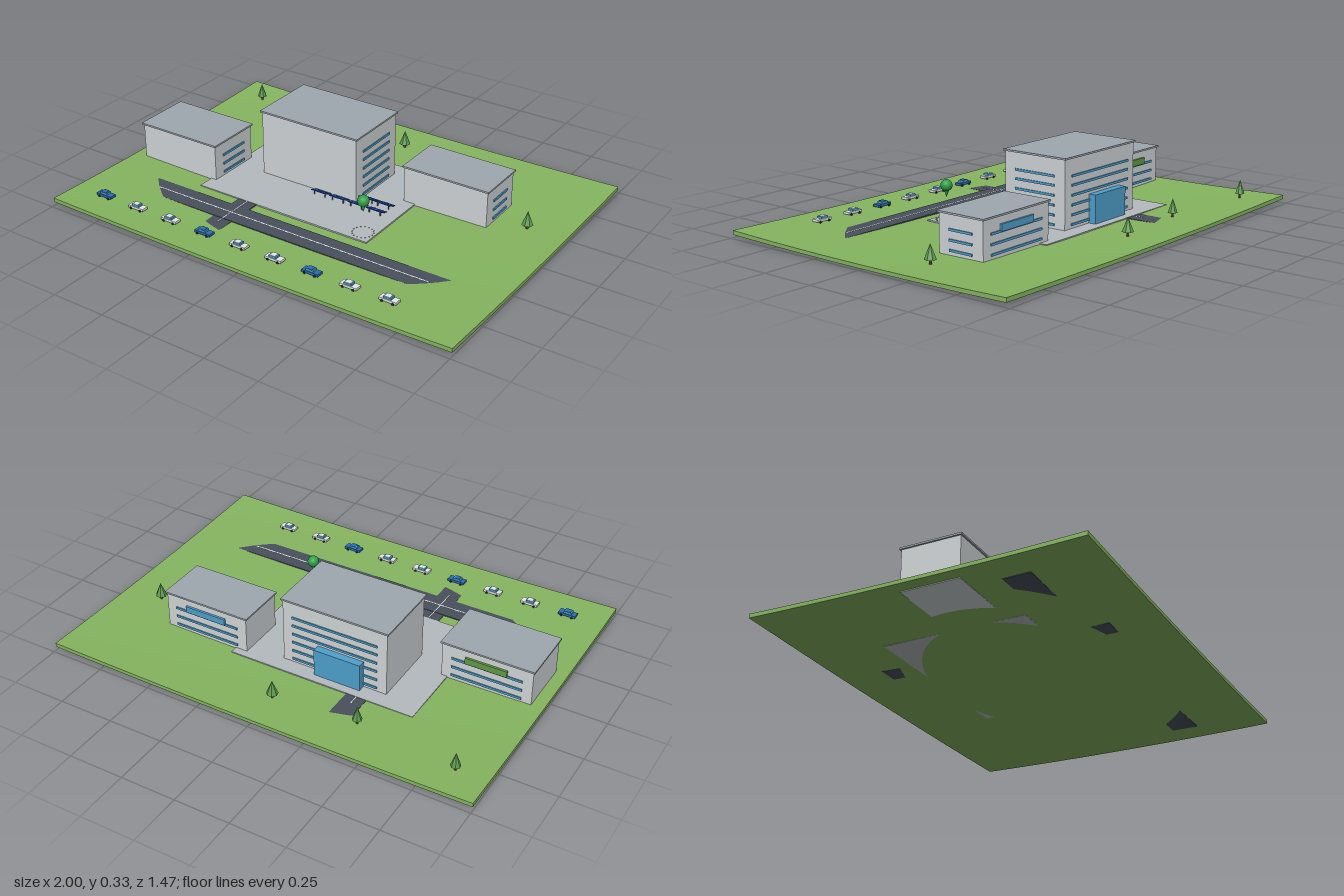
import * as THREE from 'three';

const mats = {};
const mat = (c) => (mats[c] ??= new THREE.MeshStandardMaterial({ color: c, flatShading: true }));
const WALL = 0xd0d5d7, ROOF = 0x9fa8af, GLASS = 0x4f9fcc, ASPHALT = 0x4a505c;
const WHITE = 0xe4e6e8, BLUE = 0x2a6fb5, DARK = 0x22262b;

// Shallow dished lawn height at a point
const rise = (x, z) => 0.011 * x * x + 0.022 * z * z;
const height = (x, z) => 0.014 + rise(x, z);

function add(parent, name, geometry, color, x = 0, y = 0, z = 0) {
  const m = new THREE.Mesh(geometry, mat(color));
  m.name = name;
  m.position.set(x, y, z);
  parent.add(m);
  return m;
}

// Box given by its lower and upper limits
function block(parent, name, color, x0, x1, y0, y1, z0, z1) {
  return add(parent, name, new THREE.BoxGeometry(x1 - x0, y1 - y0, z1 - z0), color,
    (x0 + x1) / 2, (y0 + y1) / 2, (z0 + z1) / 2);
}

function group(parent, name, x = 0, y = 0, z = 0) {
  const g = new THREE.Group();
  g.name = name;
  g.position.set(x, y, z);
  parent.add(g);
  return g;
}

// Lawn slab, bent to the dish
function lawn(parent) {
  const geo = new THREE.BoxGeometry(2, 1, 1.47, 32, 1, 24);
  const p = geo.attributes.position;
  for (let i = 0; i < p.count; i++) {
    const x = p.getX(i), z = p.getZ(i);
    p.setY(i, p.getY(i) > 0 ? height(x, z) : 0.8 * rise(x, z));
  }
  geo.computeVertexNormals();
  const m = new THREE.Mesh(geo, new THREE.MeshStandardMaterial({ color: 0x86b560 }));
  m.name = 'lawn';
  parent.add(m);
}

// Block with a thin overhanging roof and window bands on the +x and back faces
function building(parent, name, [x0, x1, z0, z1], y0, top, levels) {
  const g = group(parent, name);
  block(g, 'walls', WALL, x0, x1, y0, top - 0.008, z0, z1);
  block(g, 'roof', ROOF, x0 - 0.007, x1 + 0.007, top - 0.008, top, z0 - 0.007, z1 + 0.007);
  for (const y of levels) {
    block(g, 'sideWindowBand', GLASS, x1 - 0.005, x1 + 0.005, y - 0.005, y + 0.005, z0 + 0.055, z1 - 0.055);
    block(g, 'backWindowBand', GLASS, x0 + 0.045, x1 - 0.045, y - 0.005, y + 0.005, z0 - 0.005, z0 + 0.005);
  }
  return g;
}

// Small car pointing along x
function car(parent, x, z, color) {
  const g = group(parent, 'car', x, height(x, z), z);
  add(g, 'body', new THREE.BoxGeometry(0.08, 0.011, 0.034), color, 0, 0.0105, 0);
  add(g, 'cabin', new THREE.BoxGeometry(0.036, 0.01, 0.028), GLASS, -0.003, 0.02, 0);
  add(g, 'cabinRoof', new THREE.BoxGeometry(0.024, 0.002, 0.026), color, -0.003, 0.026, 0);
  for (const sx of [-1, 1]) for (const sz of [-1, 1]) {
    const wheel = add(g, 'wheel', new THREE.CylinderGeometry(0.006, 0.006, 0.005, 10), DARK,
      sx * 0.025, 0.005, sz * 0.0165);
    wheel.rotation.x = Math.PI / 2;
  }
}

// Conifer with a short trunk
function conifer(parent, x, z, r) {
  const g = group(parent, 'conifer', x, height(x, z), z);
  add(g, 'trunk', new THREE.CylinderGeometry(0.005, 0.006, 0.024, 6), 0x6b4a2f, 0, 0.01, 0);
  add(g, 'foliage', new THREE.ConeGeometry(r, 0.064, 7), 0x5e9a52, 0, 0.052, 0);
}

// Solar panel raised toward the front on two legs
function solarPanel(parent, x, z) {
  const g = group(parent, 'solarPanel', x, 0.037, z);
  const tilt = group(g, 'tiltedFrame');
  tilt.rotation.x = -0.4;
  add(tilt, 'panel', new THREE.BoxGeometry(0.08, 0.004, 0.046), 0x1d4fc0);
  for (const dx of [-0.02, 0, 0.02])
    add(tilt, 'gridBar', new THREE.BoxGeometry(0.0015, 0.001, 0.046), 0x4f7fe0, dx, 0.0023, 0);
  add(tilt, 'gridBar', new THREE.BoxGeometry(0.08, 0.001, 0.0015), 0x4f7fe0, 0, 0.0023, 0);
  for (const dx of [-0.028, 0.028])
    add(g, 'leg', new THREE.BoxGeometry(0.004, 0.024, 0.004), 0x666c72, dx, -0.009, 0.012);
}

export function createModel() {
  const root = new THREE.Group();
  root.name = 'campus';
  lawn(root);

  // Paving and roads
  block(root, 'plaza', 0xb4babd, -0.56, 0.32, 0.003, 0.0225, -0.385, 0.265);
  block(root, 'road', ASPHALT, -0.86, 0.86, 0.007, 0.0226, 0.32, 0.44);
  block(root, 'frontDrive', ASPHALT, -0.345, -0.25, 0.0045, 0.0208, 0.26, 0.525);
  block(root, 'backDrive', ASPHALT, -0.345, -0.25, 0.0045, 0.0208, -0.53, -0.38);
  block(root, 'roadLine', WHITE, -0.7, 0.69, 0.0222, 0.0232, 0.377, 0.383);
  block(root, 'driveLine', WHITE, -0.3, -0.296, 0.0202, 0.0232, 0.265, 0.475);
  block(root, 'driveLine', WHITE, -0.3, -0.296, 0.0202, 0.0214, -0.43, -0.385);

  // Buildings
  const main = building(root, 'mainBuilding', [-0.398, 0.1, -0.31, 0.01], 0.006, 0.333,
    [0.04, 0.082, 0.125, 0.167, 0.21, 0.25]);
  block(main, 'entrancePorch', GLASS, -0.29, -0.07, 0.022, 0.15, -0.345, -0.305);
  const right = building(root, 'rightWing', [-0.943, -0.532, -0.073, 0.188], 0.0045, 0.195, [0.04, 0.082, 0.125]);
  block(right, 'signPanel', 0x5f9a45, -0.83, -0.64, 0.125, 0.155, -0.083, -0.07);
  const left = building(root, 'leftWing', [0.264, 0.672, -0.35, -0.122], 0.009, 0.195, [0.04, 0.082, 0.125]);
  block(left, 'signPanel', GLASS, 0.37, 0.57, 0.125, 0.155, -0.36, -0.345);

  // Row of cars along the front
  for (let i = 0; i < 9; i++) car(root, -0.828 + i * 0.183, 0.587, i % 3 ? WHITE : BLUE);

  // Solar panels
  for (const x of [-0.065, 0.031, 0.127, 0.222]) solarPanel(root, x, 0.035);
  for (const x of [0.137, 0.222]) solarPanel(root, x, -0.032);

  // Trees
  conifer(root, -0.855, -0.59, 0.022);
  conifer(root, -0.385, -0.53, 0.022);
  conifer(root, 0, -0.56, 0.026);
  conifer(root, 0.82, -0.21, 0.026);

  // Floating marker above a ring of dots
  const marker = group(root, 'marker', 0.264, 0, 0.204);
  const ball = add(marker, 'ball', new THREE.SphereGeometry(0.026, 20, 14), 0x2fa045, 0, 0.174, 0);
  ball.material = new THREE.MeshStandardMaterial({ color: 0x2fa045 });
  add(marker, 'pointer', new THREE.ConeGeometry(0.012, 0.034, 12), 0x2fa045, 0, 0.138, 0).rotation.x = Math.PI;
  for (let i = 0; i < 16; i++) {
    const a = i * Math.PI / 8;
    add(marker, 'ringDot', new THREE.BoxGeometry(0.004, 0.003, 0.004), 0x8a949c,
      0.046 * Math.cos(a), 0.0235, 0.046 * Math.sin(a));
  }
  return root;
}
